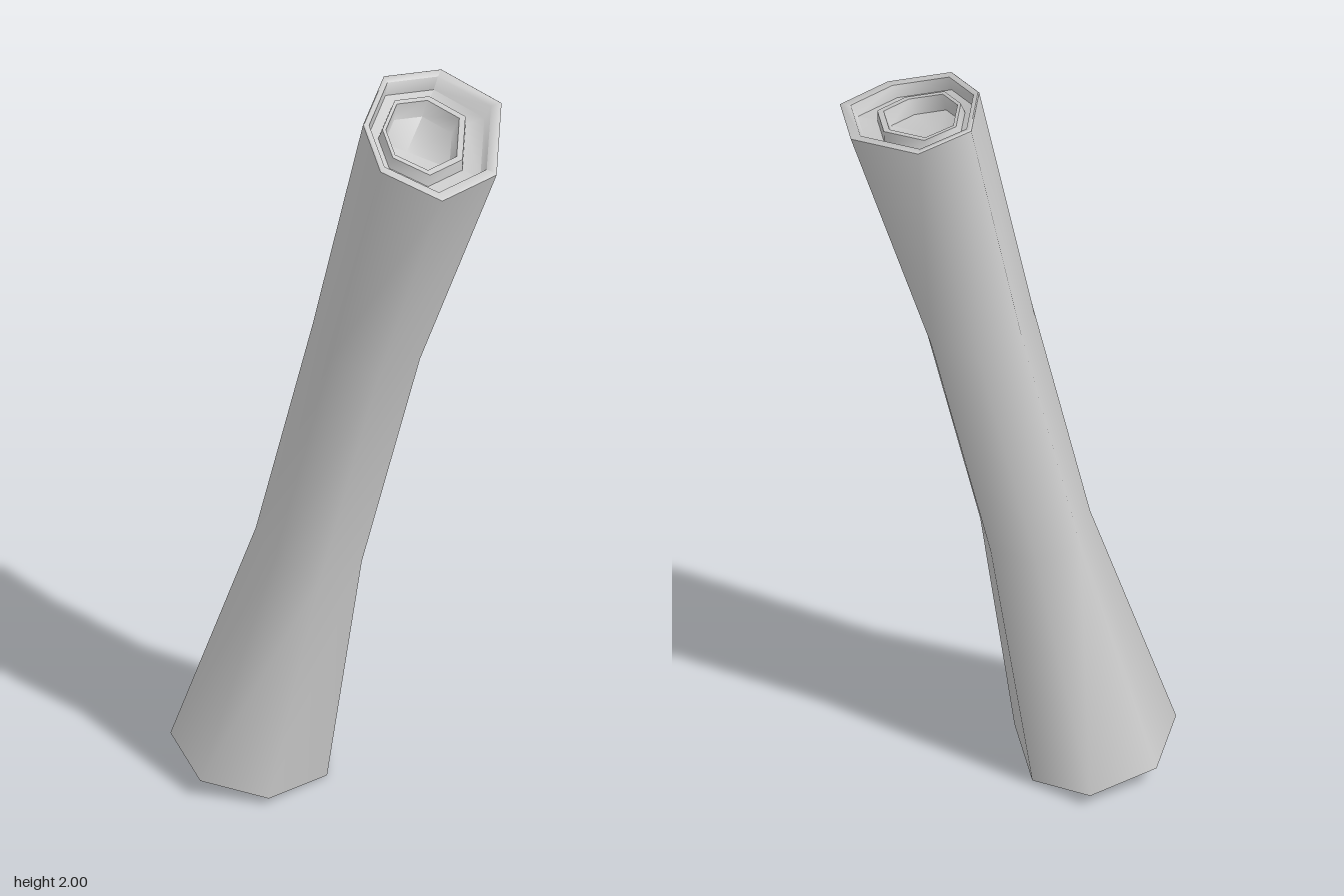
import * as THREE from 'three';
import { toCreasedNormals } from 'three/addons/utils/BufferGeometryUtils.js';

const v = (x, y, z) => new THREE.Vector3(x, y, z);
const SIDES = 7;

// Heptagonal cross-sections at the two flared ends, same winding
const bottomEnd = [
  v(-0.187, 0.05, -0.362), v(-0.003, 0.03, -0.33), v(0.055, 0.01, -0.17), v(-0.06, 0, 0.05),
  v(-0.245, 0.015, 0.09), v(-0.38, 0.045, -0.02), v(-0.355, 0.055, -0.225),
];
const topEnd = [
  v(0.15, 2, -0.045), v(0.3, 1.985, -0.023), v(0.378, 1.965, 0.15), v(0.262, 1.905, 0.343),
  v(0.1, 1.89, 0.36), v(-0.01, 1.94, 0.24), v(0.02, 1.98, 0.09),
];

const centreOf = (ring) =>
  ring.reduce((sum, p) => sum.add(p), v(0, 0, 0)).divideScalar(SIDES);
const bottomCentre = centreOf(bottomEnd);
const topCentre = centreOf(topEnd);
const axis = topCentre.clone().sub(bottomCentre).normalize();

// Narrow shaft section: average of both ends, scaled about a new centre
function shaftRing(centre, scale) {
  return bottomEnd.map((p, i) => {
    const a = p.clone().sub(bottomCentre);
    const b = topEnd[i].clone().sub(topCentre);
    return a.add(b).multiplyScalar(scale / 2).add(centre);
  });
}

// Nested rims of an end: [scale, depth into the bone]
const rims = [
  [0.98, -0.003], [0.88, 0], [0.84, 0.035], [0.63, 0.04],
  [0.6, 0.01], [0.53, 0.01], [0.49, 0.055], [0, 0.075],
];

function endRings(ring, centre, inward, shift) {
  return rims.map(([scale, depth]) =>
    ring.map((p) =>
      p.clone().sub(centre).multiplyScalar(scale).add(centre)
        .addScaledVector(inward, depth)
        .addScaledVector(shift, 1 - scale)));
}

// Joins consecutive rings with outward-facing triangles
function loft(rings) {
  const pos = [];
  const tri = (a, b, c) => {
    if (a.distanceTo(b) < 1e-6 || b.distanceTo(c) < 1e-6 || a.distanceTo(c) < 1e-6) return;
    for (const p of [a, b, c]) pos.push(p.x, p.y, p.z);
  };
  for (let i = 0; i < rings.length - 1; i++) {
    for (let j = 0; j < SIDES; j++) {
      const k = (j + 1) % SIDES;
      tri(rings[i][j], rings[i + 1][j], rings[i][k]);
      tri(rings[i][k], rings[i + 1][j], rings[i + 1][k]);
    }
  }
  const geometry = new THREE.BufferGeometry();
  geometry.setAttribute('position', new THREE.Float32BufferAttribute(pos, 3));
  return toCreasedNormals(geometry, 1.1);
}

export function createModel() {
  const group = new THREE.Group();
  group.name = 'hollowBone';
  const material = new THREE.MeshStandardMaterial({ color: 0xcccccc });
  const add = (name, rings) => {
    const mesh = new THREE.Mesh(loft(rings), material);
    mesh.name = name;
    group.add(mesh);
  };

  // Shaft with a slim, leaning middle
  add('shaft', [
    bottomEnd,
    shaftRing(v(-0.057, 0.68, -0.044), 0.73),
    shaftRing(v(0.055, 1.32, 0.05), 0.74),
    topEnd,
  ]);

  // Recessed ends with an outer and an inner rim
  add('topRims', [topEnd,
    ...endRings(topEnd, topCentre, axis.clone().negate(), v(-0.03, 0, -0.03))]);
  add('bottomRims', [bottomEnd,
    ...endRings(bottomEnd, bottomCentre, axis, v(0, 0, 0))].reverse());

  return group;
}
